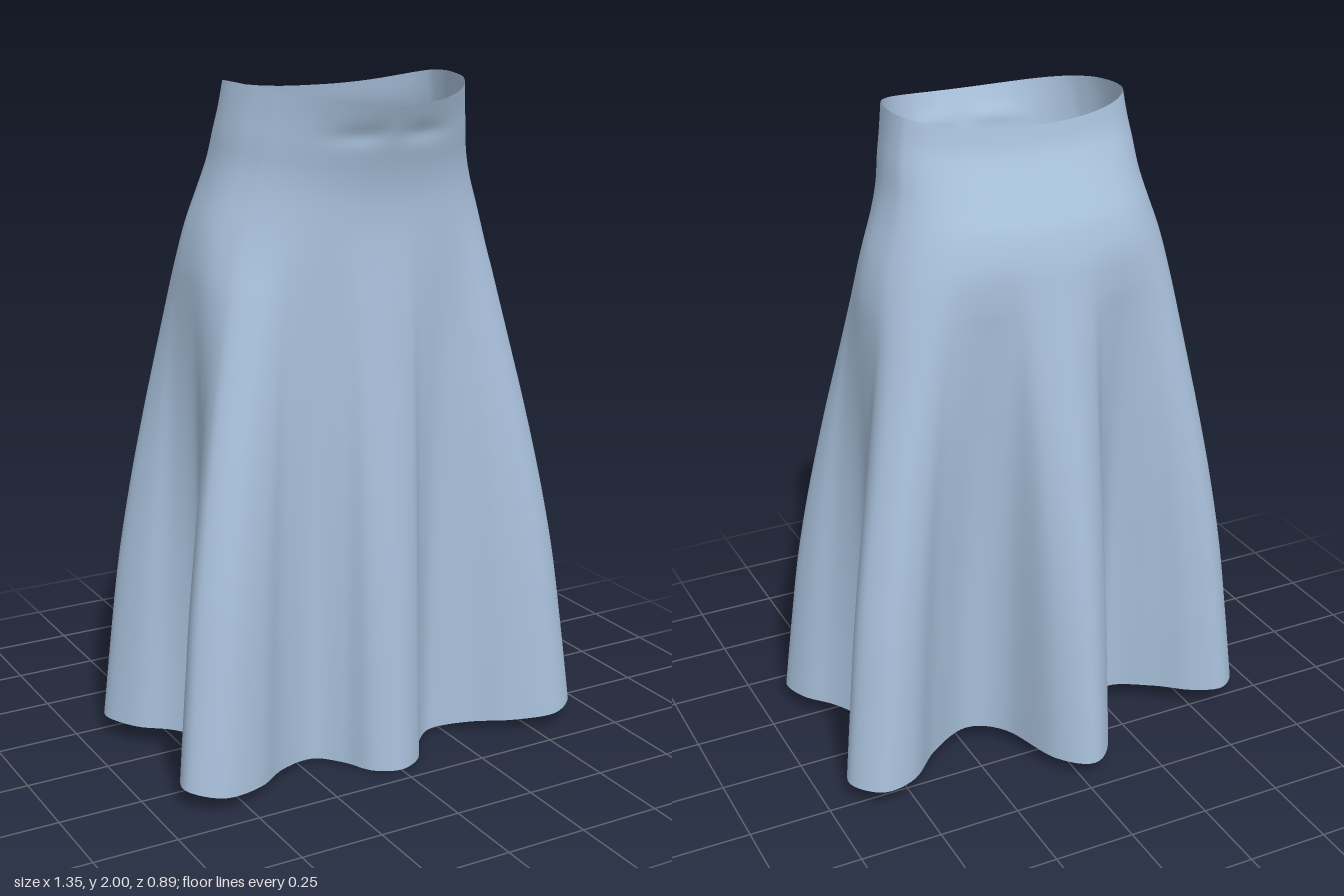
import * as THREE from 'three';

// Hem outline: x, z, and the angle (degrees from front) where each fold meets the hips
const HEM = [
  [0, .445, 0], [.08, .41, 8], [.13, .33, 14], [.21, .275, 24], [.33, .315, 33],
  [.44, .385, 39], [.57, .43, 46], [.66, .37, 54], [.64, .27, 62], [.56, .17, 72],
  [.505, .04, 88], [.55, -.05, 103], [.65, -.155, 114], [.675, -.24, 124], [.6, -.318, 133],
  [.49, -.295, 141], [.38, -.19, 149], [.24, -.115, 159], [.13, -.18, 168], [.06, -.37, 174],
  [-.04, -.45, 181], [-.13, -.37, 188], [-.18, -.2, 194], [-.27, -.11, 203], [-.4, -.18, 213],
  [-.5, -.26, 221], [-.6, -.29, 228], [-.67, -.21, 236], [-.62, -.09, 246], [-.53, -.01, 258],
  [-.475, .09, 272], [-.54, .175, 286], [-.64, .28, 299], [-.66, .37, 306], [-.57, .43, 314],
  [-.44, .395, 321], [-.33, .315, 327], [-.21, .275, 336], [-.13, .33, 346], [-.08, .41, 352],
];

// Body profile from waist to hem: y, half width, front z, back z, fold strength
const BODY = [
  [2, .353, .41, -.095, 0], [1.93, .365, .385, -.11, 0], [1.86, .378, .366, -.14, 0],
  [1.78, .39, .347, -.18, 0], [1.7, .412, .335, -.218, 0], [1.6, .445, .33, -.243, .01],
  [1.5, .465, .33, -.25, .06], [1.4, .472, .33, -.25, .14], [1.2, .475, .33, -.25, .3],
  [1, .475, .33, -.25, .46], [.75, .475, .33, -.25, .64], [.5, .475, .33, -.25, .79],
  [.25, .475, .33, -.25, .9], [0, .475, .33, -.25, 1],
];

const ROWS = 65, COLS = 240;
const { smoothstep, lerp, degToRad } = THREE.MathUtils;

// Smooth interpolation down the profile table
function bodyAt(t) {
  const f = t * (BODY.length - 1);
  const i = Math.min(Math.floor(f), BODY.length - 2);
  const row = k => BODY[Math.max(0, Math.min(BODY.length - 1, k))];
  return BODY[0].map((_, c) => {
    const [p0, p1, p2, p3] = [row(i - 1)[c], row(i)[c], row(i + 1)[c], row(i + 2)[c]];
    const u = f - i, a = (p2 - p0) / 2, b = (p3 - p1) / 2;
    return p1 + u * (a + u * (3 * (p2 - p1) - 2 * a - b + u * (2 * (p1 - p2) + a + b)));
  });
}

// One closed cross-section: rounded body blended towards the fluted hem
function ringCurve(t) {
  const [y, halfW, front, back, fold] = bodyAt(t);
  const mid = lerp(.05, .07, smoothstep(y, 1.5, 2));
  const points = HEM.map(([hx, hz, deg]) => {
    const s = Math.sin(degToRad(deg)), c = Math.cos(degToRad(deg));
    const pow = c > 0 ? .95 : .8;
    const bx = halfW * Math.sign(s) * Math.abs(s) ** pow;
    const bz = mid + (c > 0 ? front - mid : back - mid) * Math.abs(c) ** pow;
    // the waist dips at front and back, the hem rises towards the sides
    const dip = (c > 0 ? .055 : .04) * c * c * Math.max(0, (y - 1.6) / .4);
    const away = Math.min(deg, 360 - deg);
    const lift = (Math.min(.062, .15 * (1 - c)) - .015 * smoothstep(away, 140, 180)) * fold;
    return new THREE.Vector3(lerp(bx, hx, fold), y - dip + lift, lerp(bz, hz, fold));
  });
  return new THREE.CatmullRomCurve3(points, true, 'catmullrom', .5);
}

function skirtGeometry() {
  const position = [], index = [];
  for (let i = 0; i < ROWS; i++) {
    const curve = ringCurve(i / (ROWS - 1));
    for (let j = 0; j < COLS; j++) {
      const p = curve.getPoint(j / COLS);
      // soft horizontal crease under the front waist
      if (p.z > .2) {
        const side = Math.exp(-(((Math.abs(p.x) - .1) / .08) ** 2));
        p.z -= .008 * side * Math.exp(-(((p.y - 1.865) / .025) ** 2));
      }
      position.push(p.x, p.y, p.z);
      if (i < ROWS - 1) {
        const a = i * COLS + j, b = i * COLS + (j + 1) % COLS;
        index.push(a, a + COLS, b, b, a + COLS, b + COLS);
      }
    }
  }
  const geometry = new THREE.BufferGeometry();
  geometry.setAttribute('position', new THREE.Float32BufferAttribute(position, 3));
  geometry.setIndex(index);
  geometry.computeVertexNormals();
  return geometry;
}

export function createModel() {
  const group = new THREE.Group();
  group.name = 'flaredSkirt';
  const cloth = new THREE.MeshStandardMaterial({ color: 0xa9c1dc, side: THREE.DoubleSide });
  const skirt = new THREE.Mesh(skirtGeometry(), cloth);
  skirt.name = 'skirt';
  group.add(skirt);
  return group;
}
